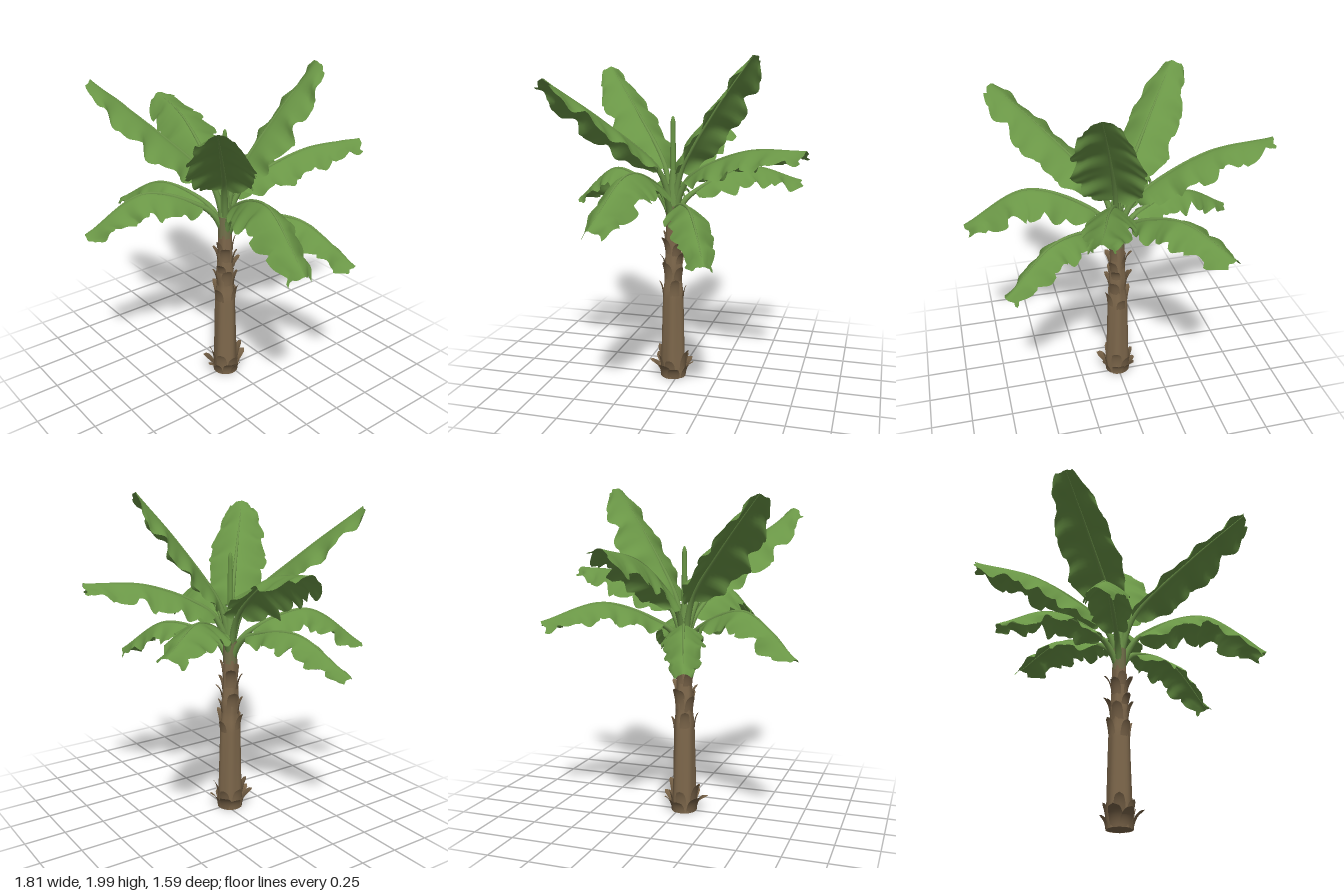
import * as THREE from 'three';
import { mergeVertices } from 'three/addons/utils/BufferGeometryUtils.js';

const V = (x, y, z) => new THREE.Vector3(x, y, z);
const paint = (name, color) => {
  const m = new THREE.MeshStandardMaterial({ color, side: THREE.DoubleSide });
  m.name = name;
  return m;
};

// Smooth surface from a rule at(u, v), u and v in 0..1
function grid(nu, nv, at) {
  const pos = [], idx = [];
  for (let i = 0; i <= nu; i++)
    for (let j = 0; j <= nv; j++) pos.push(...at(i / nu, j / nv).toArray());
  for (let i = 0; i < nu; i++)
    for (let j = 0; j < nv; j++) {
      const a = i * (nv + 1) + j, c = a + nv + 1;
      idx.push(a, c, a + 1, a + 1, c, c + 1);
    }
  let g = new THREE.BufferGeometry();
  g.setAttribute('position', new THREE.Float32BufferAttribute(pos, 3));
  g.setIndex(idx);
  g = mergeVertices(g, 1e-5);
  g.computeVertexNormals();
  return g;
}

// Round stalk along a curve; radius(s, angle) gives its thickness
function stalk(curve, side, radius, nu = 24, nv = 10) {
  return grid(nu, nv, (s, v) => {
    const a = v * Math.PI * 2;
    const n = side.clone().cross(curve.getTangentAt(s)).normalize();
    const r = radius(s, a);
    return curve.getPointAt(s).addScaledVector(side, Math.cos(a) * r).addScaledVector(n, Math.sin(a) * r);
  });
}

// Linear interpolation in a list of [position, value]
function lerpList(list, t) {
  for (let i = 1; i < list.length; i++)
    if (t <= list[i][0]) {
      const [a, x] = list[i - 1], [b, y] = list[i];
      return x + (y - x) * (t - a) / (b - a);
    }
  return list[list.length - 1][1];
}

const CZ = 0.03; // trunk axis in z

// tip x, tip z, heights at [root, blade start, middle, tip], half width, droop, tearing, roll
const LEAVES = [
  [0.20, -0.48, [1.10, 1.36, 1.70, 1.99], 0.2, 0.4, 0.08, 0],
  [0.28, -0.79, [1.07, 1.29, 1.46, 1.49], 0.14, 0.75, 0.2, 0],
  [-0.48, -0.68, [1.03, 1.17, 1.31, 1.21], 0.15, 0.65, 0.2, 0],
  [-0.90, -0.10, [1.08, 1.31, 1.56, 1.64], 0.175, 0.7, 0.25, -0.25],
  [-0.79, 0.29, [0.99, 1.14, 1.21, 1.02], 0.115, 0.8, 0.25, 0],
  [-0.50, 0.60, [1.10, 1.36, 1.65, 1.91], 0.175, 0.5, 0.08, 0],
  [-0.36, 0.78, [1.01, 1.16, 1.28, 1.05], 0.13, 0.8, 0.2, 0],
  [0.64, 0.56, [1.09, 1.35, 1.63, 1.87], 0.18, 0.5, 0.12, 0],
  [0.90, 0.22, [1.0, 1.21, 1.36, 1.13], 0.15, 0.85, 0.3, 0],
  [0.73, -0.34, [0.98, 1.11, 1.16, 0.94], 0.12, 0.8, 0.25, 0],
];

function makeLeaf([tx, tz, h, width, droop, tear, roll], k, mats) {
  const leaf = new THREE.Group();
  leaf.name = 'leaf' + (k + 1);
  const dir = V(tx, 0, tz - CZ);
  const side = dir.clone().normalize().cross(V(0, 1, 0));
  const at = (f, y) => V(0, y, CZ).addScaledVector(dir, f);
  const curve = new THREE.CatmullRomCurve3([
    at(0.02, h[0]), at(0.065, h[0] + (h[1] - h[0]) * 0.52), at(0.15, h[1]), at(0.57, h[2]), at(1, h[3]),
  ], false, 'centripetal');

  // Stem and midrib in one tapering stalk
  const rib = new THREE.Mesh(
    stalk(curve, side, s => lerpList([[0, 0.022], [0.25, 0.015], [0.6, 0.008], [1, 0.002]], s), 32, 8), mats.stem);
  rib.name = 'stemAndMidrib';

  // Folded blade, broad near its base, with lobes, pleats and a torn edge
  const blade = new THREE.Mesh(grid(48, 12, (s, v) => {
    const u = 1 - 2 * v, e = Math.abs(u), sgn = u < 0 ? -1 : 1;
    const phase = k * 1.7 + sgn * 0.9;
    const t = 0.2 + 0.8 * s;
    const tangent = curve.getTangentAt(t);
    const across = side.clone().applyAxisAngle(tangent, roll);
    const n = across.clone().cross(tangent).normalize();
    const saw = (s * 6 + k * 0.37 + sgn * 0.2 + 4) % 1;
    const wave = 0.06 * Math.sin(s * 17 + phase) + 0.05 * Math.sin(s * 27 + phase * 2);
    const w = width * Math.pow(Math.sin(Math.PI * (0.03 + 0.89 * s ** 0.8)), 0.55)
      * (1 + wave - tear * saw ** 4 * (s > 0.1 ? 1 : 0));
    const pleat = 0.015 * Math.sin(s * 22 + phase) * e + 0.009 * Math.sin(s * 42 + phase * 3) * e * e;
    const back = 0.02 * e * e * s * (1 + Math.sin(e * 9 + k));
    return curve.getPointAt(t - back)
      .addScaledVector(across, u * w)
      .addScaledVector(n, 0.003 - droop * w * e ** 1.4 + pleat);
  }), mats.leaf);
  blade.name = 'blade';
  leaf.add(rib, blade);
  return leaf;
}

const TRUNK = [[0, 0.076], [0.15, 0.072], [0.55, 0.062], [0.64, 0.051], [0.7, 0.056], [0.8, 0.046], [0.98, 0.042]];

// Dry pointed husk bending away from the trunk
function makeHusk(angle, y, len, halfWidth, flare, mat) {
  const r0 = lerpList(TRUNK, y) + 0.002;
  const m = new THREE.Mesh(grid(8, 6, (s, v) => {
    const w = halfWidth * Math.sqrt(Math.max(0, 1 - s ** 1.8));
    const a = angle + (1 - 2 * v) * w / r0;
    const r = r0 + flare * s ** 2.2 + 0.006 * s;
    return V(Math.sin(a) * r, y + len * (s - 0.12 * s ** 4), CZ + Math.cos(a) * r);
  }), mat);
  m.name = 'husk';
  return m;
}

export function createModel() {
  const mats = {
    leaf: paint('leaf green', 0x6a9646),
    stem: paint('stem green', 0x6c9449),
    crown: paint('olive crown', 0x74724c),
    trunk: paint('trunk brown', 0x7d674b),
    husk: paint('husk brown', 0x756046),
  };
  const model = new THREE.Group();
  model.name = 'bananaPlant';
  const add = (name, geo, mat) => {
    const m = new THREE.Mesh(geo, mat);
    m.name = name;
    model.add(m);
  };
  const upright = (y0, y1) => new THREE.LineCurve3(V(0, y0, CZ), V(0, y1, CZ));
  const X = V(1, 0, 0);

  // Ridged trunk with a closed foot
  add('trunk', stalk(upright(0, 0.98), X,
    (s, a) => lerpList(TRUNK, s * 0.98) * (1 + 0.05 * Math.cos(5 * a + s * 2)), 30, 30), mats.trunk);
  const foot = new THREE.CircleGeometry(0.075, 24);
  foot.rotateX(Math.PI / 2).translate(0, 0.001, CZ);
  add('trunkFoot', foot, mats.trunk);

  // Crown core, its green top and the rolled young leaf
  add('crownBase', stalk(upright(0.96, 1.1), X, s => 0.044), mats.crown);
  add('crownCore', stalk(upright(1.09, 1.34), X, s => 0.042 - 0.028 * s), mats.stem);
  add('rolledLeaf', stalk(upright(1.2, 1.64), X,
    s => lerpList([[0, 0.014], [0.4, 0.018], [0.92, 0.014], [0.98, 0.008], [1, 0]], s), 40), mats.leaf);

  // Husks: two rings at the foot and loose rings under the crown
  const husks = new THREE.Group();
  husks.name = 'husks';
  const rings = [ // height, count, length, half width, flare, turn
    [0, 7, 0.11, 0.04, 0.045, 0.2], [0.04, 6, 0.13, 0.036, 0.02, 0.6],
    [0.53, 4, 0.11, 0.032, 0.018, 0.3], [0.64, 4, 0.13, 0.036, 0.025, 1.1],
    [0.73, 3, 0.08, 0.03, 0.025, 0.5], [0.8, 4, 0.12, 0.032, 0.03, 0.9],
    [0.86, 3, 0.1, 0.03, 0.01, 0.1],
  ];
  rings.forEach(([y, n, len, w, flare, turn], i) => {
    for (let j = 0; j < n; j++) {
      const vary = Math.sin(i * 3.1 + j * 2.3);
      husks.add(makeHusk(turn + j / n * Math.PI * 2 + vary * 0.15, y + (i ? 0.012 * vary : 0),
        len * (1 + 0.2 * vary), w, flare * (1 + 0.4 * vary), (i + j) % 2 ? mats.trunk : mats.husk));
    }
  });
  // One long husk bent forward at the foot
  husks.add(makeHusk(0.15, 0.02, 0.09, 0.03, 0.07, mats.trunk));
  model.add(husks);

  LEAVES.forEach((spec, k) => model.add(makeLeaf(spec, k, mats)));
  return model;
}
